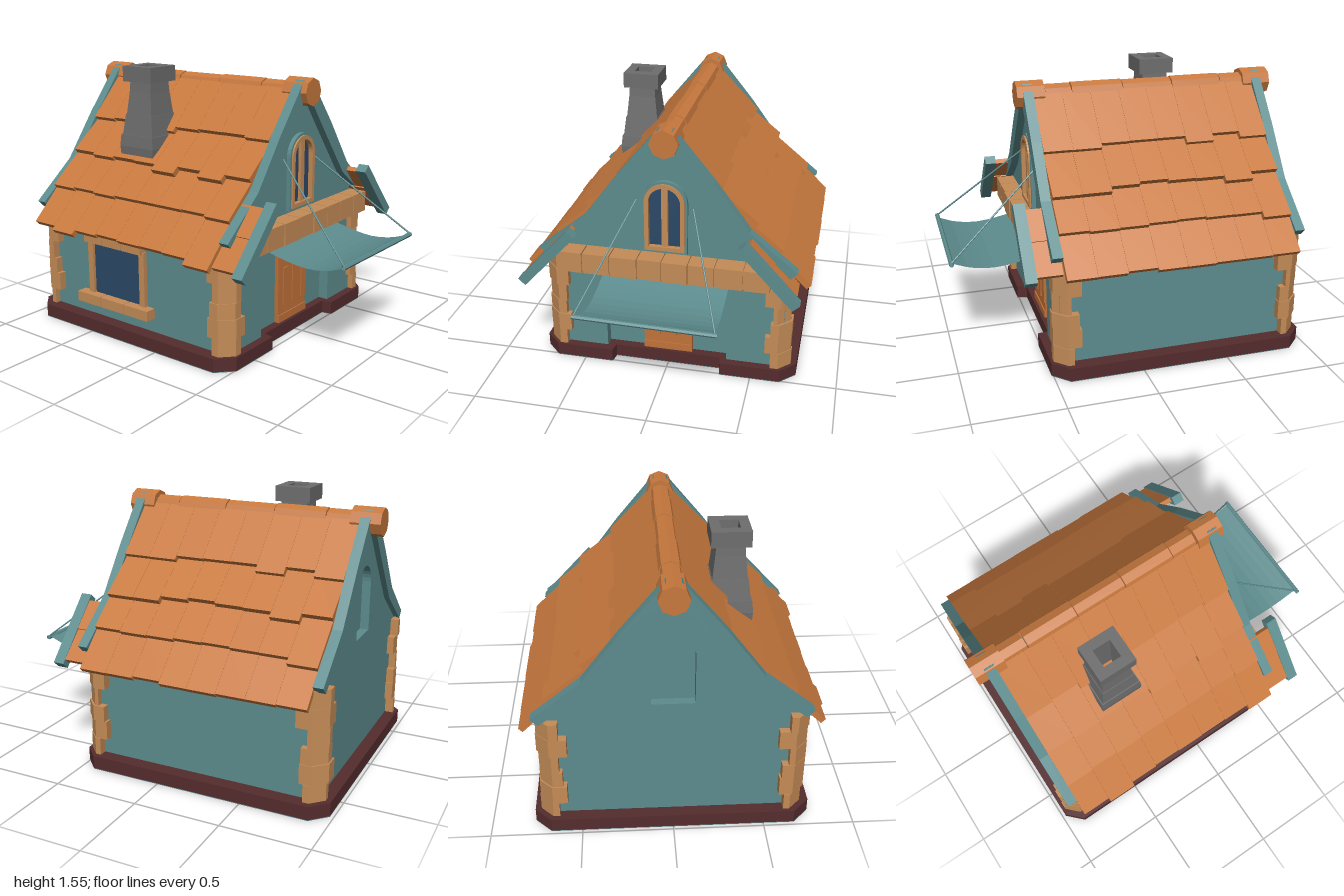
import * as THREE from 'three';

const paint = (name, color) => {
  const m = new THREE.MeshStandardMaterial({ color, flatShading: true });
  m.name = name;
  return m;
};

export function createModel() {
  const model = new THREE.Group();
  model.name = 'cottage';
  const teal = paint('teal plaster', 0x5d8c8e);
  const cloth = paint('teal cloth', 0x5d8c8e);
  cloth.side = THREE.DoubleSide;
  const orange = paint('orange tile', 0xc8793e);
  const tan = paint('tan stone', 0xc58c57);
  const maroon = paint('maroon footing', 0x552c2e);
  const grey = paint('grey stone', 0x6e6e6e);
  const navy = paint('navy glass', 0x2b4868);
  const doorWood = paint('door wood', 0xc2723a);

  let seed = 7;
  const rand = () => (seed = (seed * 16807) % 2147483647) / 2147483647;
  const jitter = (a) => (rand() * 2 - 1) * a;

  const add = (name, geo, mat, parent = model) => {
    const m = new THREE.Mesh(geo, mat);
    m.name = name;
    parent.add(m);
    return m;
  };
  const group = (name) => {
    const g = new THREE.Group();
    g.name = name;
    model.add(g);
    return g;
  };
  // box given by its limits
  const box = (name, mat, x0, x1, y0, y1, z0, z1, parent) => {
    const m = add(name, new THREE.BoxGeometry(x1 - x0, y1 - y0, z1 - z0), mat, parent);
    m.position.set((x0 + x1) / 2, (y0 + y1) / 2, (z0 + z1) / 2);
    return m;
  };
  const poly = (pts) => new THREE.Shape(pts.map(([x, y]) => new THREE.Vector2(x, y)));
  // outline in the front plane, pushed from z0 to z1
  const slab = (shape, z0, z1) =>
    new THREE.ExtrudeGeometry(shape, { depth: z1 - z0, bevelEnabled: false, curveSegments: 8 }).translate(0, 0, z0);
  // outline in plan (x, z), pushed from y0 to y1
  const plan = (pts, y0, y1) =>
    new THREE.ExtrudeGeometry(poly(pts.map(([x, z]) => [x, -z])), { depth: y1 - y0, bevelEnabled: false })
      .rotateX(-Math.PI / 2).translate(0, y0, 0);
  const arch = (cx, w, y0, top) => {
    const s = new THREE.Shape();
    s.moveTo(cx - w, y0);
    s.lineTo(cx + w, y0);
    s.lineTo(cx + w, top - w);
    s.absarc(cx, top - w, w, 0, Math.PI, false);
    s.lineTo(cx - w, y0);
    return s;
  };
  const archRing = (cx, w, y0, top, t) => {
    const s = arch(cx, w, y0, top);
    s.holes.push(arch(cx, w - t, y0 + t, top - t));
    return s;
  };

  // Footing with cut corners and a step back at the door
  const foot = [[-0.76, 0.42], [-0.67, 0.51], [-0.33, 0.51], [-0.32, 0.45], [0.31, 0.45], [0.32, 0.51],
    [0.67, 0.51], [0.76, 0.42], [0.76, -0.89], [0.67, -0.98], [-0.67, -0.98], [-0.76, -0.89]];
  add('footing', plan(foot, 0.004, 0.08), maroon);
  add('floorUnderside', plan(foot, 0, 0.004), teal);

  // Walls: core, front skin cut out round the door, back skin with a niche
  const roofLine = [[0.68, 0.72], [0.6, 0.8], [0.44, 0.97], [0.25, 1.17], [0.05, 1.42]];
  const gable = [...roofLine, ...roofLine.slice().reverse().map(([x, y]) => [-x, y])];
  add('walls', slab(poly([[-0.68, 0.05], [0.68, 0.05], ...gable]), -0.86, 0.4), teal);
  add('frontWall', slab(poly([[-0.68, 0.05], [-0.37, 0.05], [-0.37, 0.6], [0.35, 0.6], [0.35, 0.05],
    [0.68, 0.05], ...gable]), 0.4, 0.46), teal);
  const backWall = poly([[-0.68, 0.05], [0.68, 0.05], ...gable]);
  backWall.holes.push(arch(0, 0.115, 0.78, 1.18));
  add('backWall', slab(backWall, -0.91, -0.86), teal);

  // Corner stones
  const courses = [[0.08, 0.18, 0.11], [0.18, 0.29, 0.15], [0.29, 0.38, 0.13], [0.38, 0.49, 0.105],
    [0.49, 0.6, 0.155], [0.6, 0.7, 0.12]];
  const corners = group('cornerStones');
  for (const sx of [-1, 1]) for (const sz of [-1, 1]) for (const [y0, y1, arm] of courses) {
    const X = 0.72 + jitter(0.008), Z = (sz > 0 ? 0.495 : 0.955) + jitter(0.006);
    const ax = arm + jitter(0.015), az = arm + jitter(0.015);
    let pts = [[X - ax, Z], [X - 0.07, Z], [X, Z - 0.07], [X, Z - az], [X - 0.09, Z - az], [X - ax, Z - 0.09]];
    pts = pts.map(([x, z]) => [x * sx, z * sz]);
    add('cornerStone', plan(pts, y0, y1), tan, corners);
  }

  // Overlapping roof tiles: rows run from upper to lower edge
  const rows = [[0.05, 1.45, 0.29, 1.2], [0.24, 1.2, 0.48, 1.01], [0.43, 1.01, 0.65, 0.83], [0.61, 0.83, 0.81, 0.635]];
  const tile = (name, mat, side, [x0, y0, x1, y1], z0, z1, t, extra, parent) => {
    const len = Math.hypot(x1 - x0, y1 - y0), a = Math.atan2(y1 - y0, x1 - x0);
    const geo = new THREE.BoxGeometry(len + extra, t, z1 - z0).translate((len + extra) / 2, -t / 2, 0);
    const holder = new THREE.Group();
    holder.rotation.y = side < 0 ? Math.PI : 0;
    const m = add(name, geo, mat, holder);
    m.rotation.z = a;
    m.position.set(x0, y0, side * (z0 + z1) / 2);
    parent.add(holder);
  };
  const roof = group('roofTiles');
  for (const side of [-1, 1]) for (const row of rows) for (let i = 0; i < 8; i++) {
    const z0 = -0.885 + i * 0.1665;
    const long = rand() < 0.22 ? 0.04 : 0;
    tile('roofTile', orange, side, row, z0, z0 + 0.1655, 0.032 + jitter(0.003), long + jitter(0.008), roof);
  }

  // Barge boards along both gables, curving outward at the foot
  const board = [[0.04, 1.5], [0.27, 1.22], [0.47, 0.95], [0.74, 0.73], [0.7, 0.69], [0.42, 0.895], [0.21, 1.16], [0, 1.43]];
  for (const [z0, z1] of [[0.447, 0.505], [-0.942, -0.885]]) for (const s of [-1, 1])
    add('bargeBoard', slab(poly(board.map(([x, y]) => [x * s, y])), z0, z1), teal);

  // Small eaves standing forward over the front corners
  const eaves = group('frontEaves');
  for (const [s, dx, dy] of [[1, 0, 0], [-1, 0.055, -0.025]]) {
    const x = 0.465 + dx, y = 0.95 + dy;
    tile('eaveBoard', teal, s, [x, y, x + 0.305, y - 0.33], 0.59, 0.655, 0.055, 0, eaves);
    tile('eaveTileUpper', orange, s, [x + 0.02, y - 0.03, x + 0.15, y - 0.165], 0.45, 0.59, 0.03, 0, eaves);
    tile('eaveTileLower', orange, s, [x + 0.13, y - 0.155, x + 0.285, y - 0.31], 0.45, 0.59, 0.03, 0, eaves);
  }

  // Ridge of overlapping caps with heavier ends
  const ridge = group('ridge');
  const cap = (z0, z1, r, y) => {
    const m = add('ridgeCap', new THREE.CylinderGeometry(r, r, z1 - z0, 8).rotateX(Math.PI / 2), orange, ridge);
    m.position.set(0.003, y, (z0 + z1) / 2);
  };
  const seams = [-0.83, -0.685, -0.38, -0.08, 0.225, 0.38];
  for (let i = 0; i < 5; i++) cap(seams[i], seams[i + 1] - 0.006, i % 2 ? 0.066 : 0.062, 1.424);
  cap(0.38, 0.54, 0.08, 1.432);
  cap(-1, -0.83, 0.08, 1.432);

  // Hollow square chimney
  const flue = [[0.12, 0.95], [0.128, 1.08], [0.122, 1.15], [0.115, 1.15], [0.1, 1.27], [0.096, 1.27], [0.082, 1.4],
    [0.078, 1.46], [0.108, 1.46], [0.108, 1.55], [0.052, 1.55], [0.052, 1.0]];
  const flueGeo = new THREE.LatheGeometry(flue.map(([h, y]) => new THREE.Vector2(h * Math.SQRT2, y)), 4, Math.PI / 4).toNonIndexed();
  flueGeo.computeVertexNormals();
  add('chimney', flueGeo, grey).position.set(-0.328, 0, -0.383);

  // Arched gable window
  const wx = -0.007;
  add('windowSurround', slab(archRing(wx, 0.128, 0.765, 1.2, 0.014), 0.455, 0.485), teal);
  add('windowFrame', slab(archRing(wx, 0.114, 0.78, 1.186, 0.024), 0.455, 0.495), tan);
  add('windowGlass', slab(arch(wx, 0.095, 0.8, 1.165), 0.46, 0.467), navy);
  box('windowMullion', tan, wx - 0.018, wx + 0.018, 0.8, 1.165, 0.46, 0.485);

  // Stone band over the entrance
  const joints = [-0.62, -0.47, -0.31, -0.15, -0.01, 0.14, 0.29, 0.45, 0.6];
  const band = group('stoneBand');
  box('bandCore', tan, -0.615, 0.595, 0.632, 0.74, 0.44, 0.558, band);
  for (let i = 0; i < 8; i++)
    box('bandStone', tan, joints[i] + 0.003, joints[i + 1] - 0.003, 0.626, 0.75, 0.45, 0.57 + jitter(0.004), band);

  // Door with cut upper corners and raised panels
  add('door', slab(poly([[-0.15, 0.08], [0.14, 0.08], [0.14, 0.49], [0.1, 0.55], [-0.11, 0.55], [-0.15, 0.49]]), 0.39, 0.425), doorWood);
  for (const x of [-0.103, -0.007, 0.088])
    box('doorPanel', doorWood, x, x + 0.052, 0.18, 0.41, 0.425, 0.432);
  box('doorRail', doorWood, -0.15, 0.14, 0.08, 0.125, 0.425, 0.432);

  // Window in the side wall
  const side = group('sideWindow');
  box('sideGlass', navy, -0.688, -0.68, 0.22, 0.55, -0.53, -0.14, side);
  for (const z of [-0.56, -0.155]) box('sidePost', tan, -0.705, -0.67, 0.22, 0.55, z, z + 0.04, side);
  for (let i = 0; i < 3; i++) {
    box('sillStone', tan, -0.745, -0.66, 0.165, 0.225, -0.62 + i * 0.187, -0.437 + i * 0.187, side);
    box('lintelStone', tan, -0.725, -0.66, 0.54, 0.6, -0.57 + i * 0.15, -0.424 + i * 0.15, side);
  }

  // Sagging awning, its rod and the two stay ropes
  const sag = new THREE.CatmullRomCurve3([[0.46, 0.605], [0.6, 0.57], [0.75, 0.55], [0.88, 0.565], [0.99, 0.605]]
    .map(([z, y]) => new THREE.Vector3(0, y, z)));
  const sheet = new THREE.PlaneGeometry(0.73, 1, 1, 10);
  const p = sheet.attributes.position;
  for (let i = 0; i < p.count; i++) {
    const c = sag.getPoint(Math.min(1, Math.max(0, 0.5 - p.getY(i))));
    p.setXYZ(i, p.getX(i) - 0.005, c.y, c.z);
  }
  sheet.computeVertexNormals();
  add('awningCloth', sheet, cloth);
  const rod = (name, a, b, r) => {
    const line = new THREE.LineCurve3(new THREE.Vector3(...a), new THREE.Vector3(...b));
    add(name, new THREE.TubeGeometry(line, 1, r, 6), cloth);
  };
  rod('awningRod', [-0.395, 0.61, 0.987], [0.38, 0.6, 0.987], 0.013);
  rod('stayRope', [-0.385, 0.615, 0.985], [-0.17, 1.07, 0.46], 0.005);
  rod('stayRope', [0.37, 0.61, 0.985], [0.15, 1.04, 0.46], 0.005);

  return model;
}
